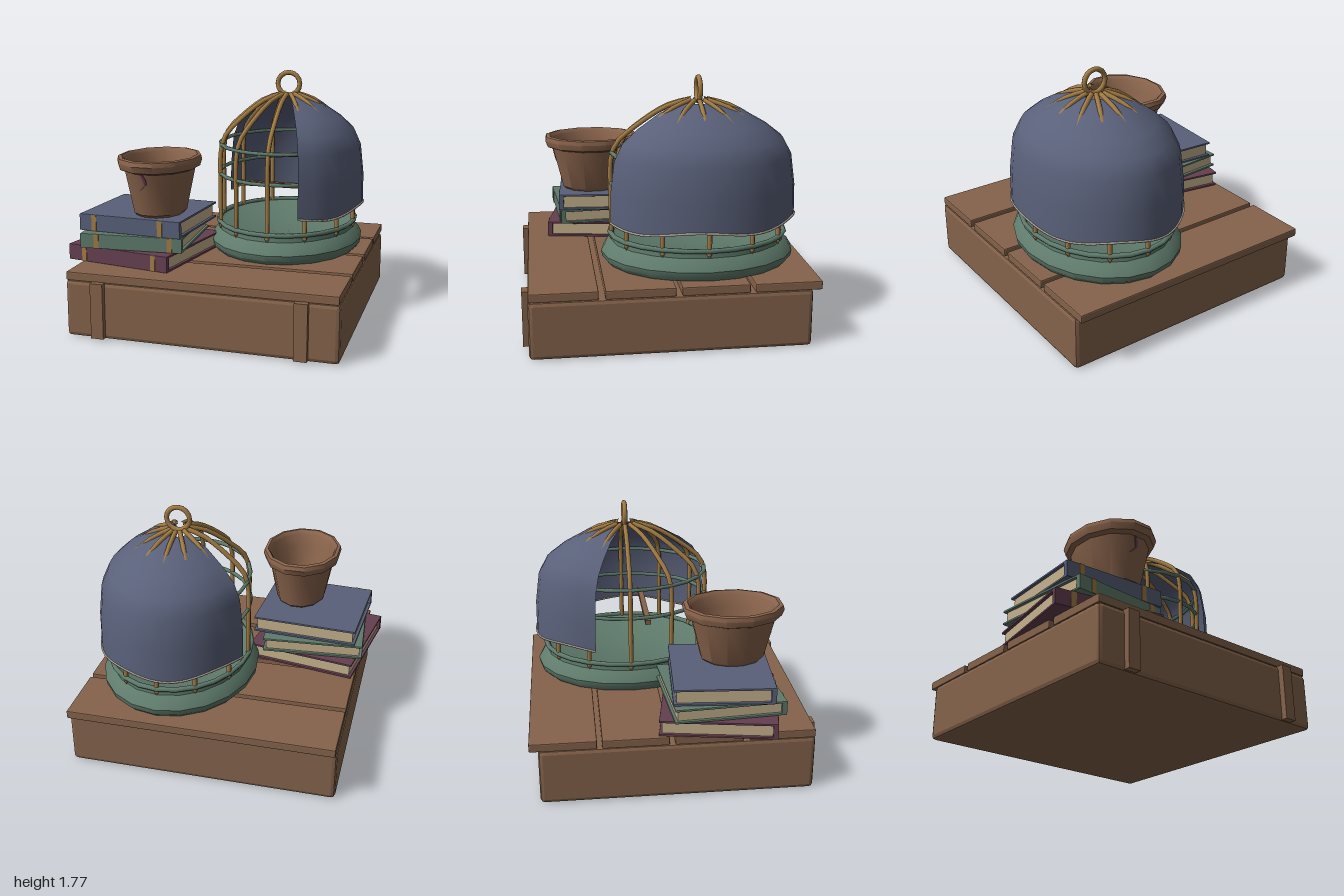
import * as THREE from 'three';
import { toCreasedNormals } from 'three/addons/utils/BufferGeometryUtils.js';
import { RoundedBoxGeometry } from 'three/addons/geometries/RoundedBoxGeometry.js';

function makeMaterial(name, color, side = THREE.FrontSide) {
  const m = new THREE.MeshStandardMaterial({ color, side });
  m.name = name;
  return m;
}

const wood = makeMaterial('wood brown', 0x85634b);
const clay = makeMaterial('clay', 0x8a644c);
const blue = makeMaterial('slate blue', 0x596079, THREE.DoubleSide);
const green = makeMaterial('sage green', 0x5f7b6c);
const plum = makeMaterial('plum', 0x653f50);
const brass = makeMaterial('brass', 0xa27c45);
const paper = makeMaterial('paper', 0xc5b18c);
const hemGrey = makeMaterial('hem grey', 0xaaa196);

function add(parent, name, geometry, material, x = 0, y = 0, z = 0) {
  const mesh = new THREE.Mesh(geometry, material);
  mesh.name = name;
  mesh.position.set(x, y, z);
  parent.add(mesh);
  return mesh;
}

// Box given by its ranges, with chamfered edges when bevel > 0
function block(parent, name, material, [x0, x1], [y0, y1], [z0, z1], bevel = 0) {
  const size = [x1 - x0, y1 - y0, z1 - z0];
  const geometry = bevel
    ? toCreasedNormals(new RoundedBoxGeometry(...size, 1, bevel), 0.3)
    : new THREE.BoxGeometry(...size);
  return add(parent, name, geometry, material, (x0 + x1) / 2, (y0 + y1) / 2, (z0 + z1) / 2);
}

const toPoints = (list) => list.map(([r, y]) => new THREE.Vector2(r, y));

function group(parent, name, x = 0, y = 0, z = 0) {
  const g = new THREE.Group();
  g.name = name;
  g.position.set(x, y, z);
  parent.add(g);
  return g;
}

function buildCrate(root) {
  const crate = group(root, 'crate');
  block(crate, 'crateBody', wood, [-0.91, 0.995], [0, 0.405], [-0.935, 0.96], 0.03);
  for (const [z0, z1] of [[0.5, 0.955], [-0.01, 0.455], [-0.505, -0.05], [-0.995, -0.54]])
    block(crate, 'topPlank', wood, [-0.905, 0.985], [0.4, 0.46], [z0, z1], 0.008);
  for (const x of [-0.665, 0.745])
    block(crate, 'frontStrap', wood, [x - 0.045, x + 0.045], [0.015, 0.405], [0.93, 1]);
}

// Book with its spine at the front (+z)
function buildBook(root, name, material, { w, d, h, x, y, z, turn, bands }) {
  const book = group(root, name, x, y, z);
  book.rotation.y = turn;
  const X = [-w / 2, w / 2], Z = [-d / 2, d / 2], cover = 0.016;
  block(book, 'backCover', material, X, [0, cover], Z, 0.005);
  block(book, 'frontCover', material, X, [h - cover, h], Z, 0.005);
  block(book, 'spine', material, X, [0.004, h - 0.004], [d / 2 - 0.035, d / 2]);
  block(book, 'pages', paper, [X[0] + 0.02, X[1] - 0.02], [cover, h - cover], [Z[0] + 0.02, Z[1] - 0.03]);
  for (const b of bands)
    block(book, 'spineBand', brass, [b - 0.018, b + 0.018], [0.002, h - 0.002], [d / 2, d / 2 + 0.005]);
}

function buildPot(root) {
  const pot = group(root, 'flowerPot', -0.4, 0, 0.45);
  const profile = [
    [0, 0.8], [0.165, 0.8], [0.185, 0.82], [0.245, 1.12], [0.278, 1.135], [0.292, 1.18],
    [0.285, 1.21], [0.262, 1.215], [0.243, 1.19], [0.225, 1.1], [0.165, 0.88], [0, 0.87],
  ];
  const body = new THREE.LatheGeometry(toPoints(profile), 12, Math.PI / 12);
  body.scale(1, 1, 1.24);
  add(pot, 'potBody', toCreasedNormals(body, 0.62), clay);

  // Jagged crack lying on the front facet
  const crack = new THREE.Shape(toPoints([
    [-0.05, 0], [-0.008, 0.05], [-0.015, 0.08], [-0.03, 0.125],
    [-0.016, 0.125], [0.006, 0.088], [0.008, 0.052], [-0.02, 0.02],
  ]));
  const plate = new THREE.ExtrudeGeometry(crack, { depth: 0.008, bevelEnabled: false });
  add(pot, 'potCrack', plate, plum, 0, 1.0, 0.263).rotation.x = 0.236;
}

function buildCage(root) {
  const STRETCH = 1.22;  // oval footprint, longer in z
  const cage = group(root, 'birdCage', 0.36, 0, -0.247);

  // Rounded base with a flat floor
  const base = new THREE.LatheGeometry(toPoints([
    [0, 0.46], [0.53, 0.46], [0.555, 0.49], [0.562, 0.53], [0.54, 0.575],
    [0.503, 0.61], [0.5, 0.65], [0.49, 0.655], [0.475, 0.645], [0, 0.645],
  ]), 20);
  base.scale(1, 1, STRETCH);
  add(cage, 'cageBase', toCreasedNormals(base, 0.6), green);

  // Rim and hoops
  for (const [name, y, r, tube] of [['baseRim', 0.662, 0.508, 0.017], ['lowerHoop', 1.02, 0.5, 0.014], ['upperHoop', 1.235, 0.495, 0.014]]) {
    const hoop = new THREE.TorusGeometry(r, tube, 6, 24);
    hoop.rotateX(Math.PI / 2);
    hoop.scale(1, 1, STRETCH);
    add(cage, name, hoop, green, 0, y, 0);
  }

  // Twelve bars bending into the dome
  const barProfile = [[0.5, 0.63], [0.5, 0.9], [0.5, 1.18], [0.468, 1.3], [0.36, 1.415], [0.2, 1.54], [0.12, 1.575], [0.055, 1.595]];
  for (let i = 0; i < 12; i++) {
    const a = (i * Math.PI) / 6, c = Math.cos(a), s = Math.sin(a) * STRETCH;
    const path = new THREE.CatmullRomCurve3(barProfile.map(([r, y]) => new THREE.Vector3(r * c, y, r * s)));
    add(cage, 'cageBar', new THREE.TubeGeometry(path, 16, 0.017, 6), brass);
    const tip = new THREE.ConeGeometry(0.017, 0.03, 6);
    tip.rotateX(Math.PI);
    add(cage, 'barTip', tip, brass, 0.5 * c, 0.616, 0.5 * s);
  }

  // Hanging ring and perch
  add(cage, 'hangingRing', new THREE.TorusGeometry(0.083, 0.018, 8, 16), brass, 0, 1.665, 0);
  block(cage, 'perch', wood, [-0.36, 0.36], [0.91, 0.945], [0.12, 0.16]);

  // Cloth draped over part of the dome, with a wavy lower edge
  const start = THREE.MathUtils.degToRad(23), sweep = THREE.MathUtils.degToRad(225);
  const wave = (phi) => 0.018 * Math.sin(phi * 5 + 0.6);
  const clothProfile = [[0.565, 0.785], [0.562, 1.0], [0.537, 1.22], [0.485, 1.335], [0.39, 1.425], [0.25, 1.522], [0.09, 1.576]];
  const cloth = new THREE.LatheGeometry(toPoints(clothProfile), 20, start, sweep);
  const p = cloth.attributes.position;
  for (let i = 0; i < p.count; i++)
    if (p.getY(i) < 0.8) p.setY(i, p.getY(i) + wave(Math.atan2(p.getX(i), p.getZ(i))));
  cloth.scale(1, 1, STRETCH);
  cloth.computeVertexNormals();
  add(cage, 'clothCover', cloth, blue);

  // Hem along the lower edge of the cloth
  const hemPoints = [];
  for (let i = 0; i <= 20; i++) {
    const phi = start + (sweep * i) / 20;
    hemPoints.push(new THREE.Vector3(0.566 * Math.sin(phi), 0.785 + wave(phi), 0.566 * STRETCH * Math.cos(phi)));
  }
  add(cage, 'clothHem', new THREE.TubeGeometry(new THREE.CatmullRomCurve3(hemPoints), 60, 0.008, 5), hemGrey);
}

export function createModel() {
  const root = new THREE.Group();
  root.name = 'cageAndBooksOnCrate';
  buildCrate(root);
  buildBook(root, 'bottomBook', plum, { w: 0.8, d: 0.8, h: 0.115, x: -0.555, y: 0.46, z: 0.34, turn: -0.17, bands: [-0.27, 0.29] });
  buildBook(root, 'middleBook', green, { w: 0.735, d: 0.77, h: 0.105, x: -0.55, y: 0.575, z: 0.34, turn: 0.07, bands: [-0.25, 0.28] });
  buildBook(root, 'topBook', blue, { w: 0.765, d: 0.69, h: 0.12, x: -0.525, y: 0.68, z: 0.345, turn: -0.065, bands: [-0.27, 0.235] });
  buildPot(root);
  buildCage(root);
  return root;
}
